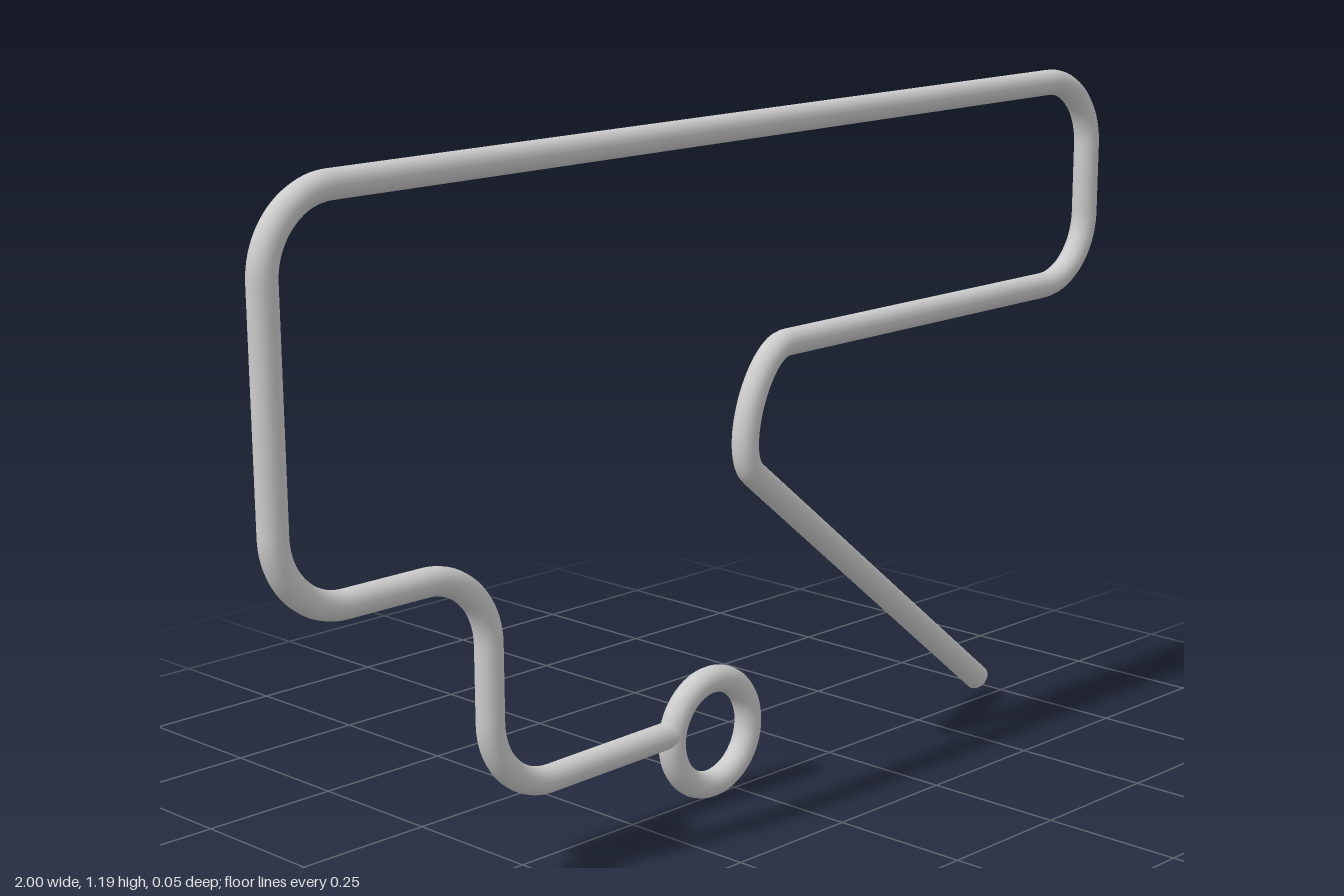
import * as THREE from 'three';

const R = 0.0235; // wire radius

export function createModel() {
  const group = new THREE.Group();
  const material = new THREE.MeshStandardMaterial({ color: 0xcccccc });
  const add = (name, geometry) => {
    const mesh = new THREE.Mesh(geometry, material);
    mesh.name = name;
    group.add(mesh);
    return mesh;
  };
  const v = (x, y) => new THREE.Vector3(x, y, 0);

  // Corners of the bent wire, each rounded with a near-circular bend
  const start = v(-0.16, 0.137), end = v(0.674, 0.043);
  const corners = [
    v(-0.563, 0.13), v(-0.563, 0.515), v(-0.974, 0.515),
    v(-0.977, 1.144), v(0.977, 1.164), v(0.974, 0.781),
  ];
  const hookStart = v(0.13, 0.773), hookEnd = v(0.045, 0.557);
  const path = new THREE.CurvePath();
  let last = start;
  const lineTo = (p) => { path.add(new THREE.LineCurve3(last, p)); last = p; };
  const bendTo = (a, b, p) => { path.add(new THREE.CubicBezierCurve3(last, a, b, p)); last = p; };
  corners.forEach((c, i) => {
    const before = corners[i - 1] ?? start, after = corners[i + 1] ?? hookStart;
    const size = 0.127;
    const a = c.clone().add(before.clone().sub(c).setLength(size));
    const b = c.clone().add(after.clone().sub(c).setLength(size));
    lineTo(a);
    bendTo(a.clone().lerp(c, 0.55), b.clone().lerp(c, 0.55), b);
  });

  // Tight hook back into the diagonal leg
  lineTo(hookStart);
  bendTo(v(0.06, 0.773), v(-0.006, 0.605), hookEnd);
  lineTo(end);
  add('bentWire', new THREE.TubeGeometry(path, 640, R, 20, false));

  // Flat caps on both wire ends
  const cap = (name, p, direction) => {
    const mesh = add(name, new THREE.CircleGeometry(R, 20));
    mesh.position.copy(p);
    mesh.quaternion.setFromUnitVectors(new THREE.Vector3(0, 0, 1), direction.normalize());
  };
  cap('ringEndCap', start, start.clone().sub(corners[0]));
  cap('legEndCap', end, end.clone().sub(hookEnd));

  // Eyelet ring
  add('ring', new THREE.TorusGeometry(0.094, R, 20, 64)).position.set(-0.06, 0.1175, 0);

  return group;
}
